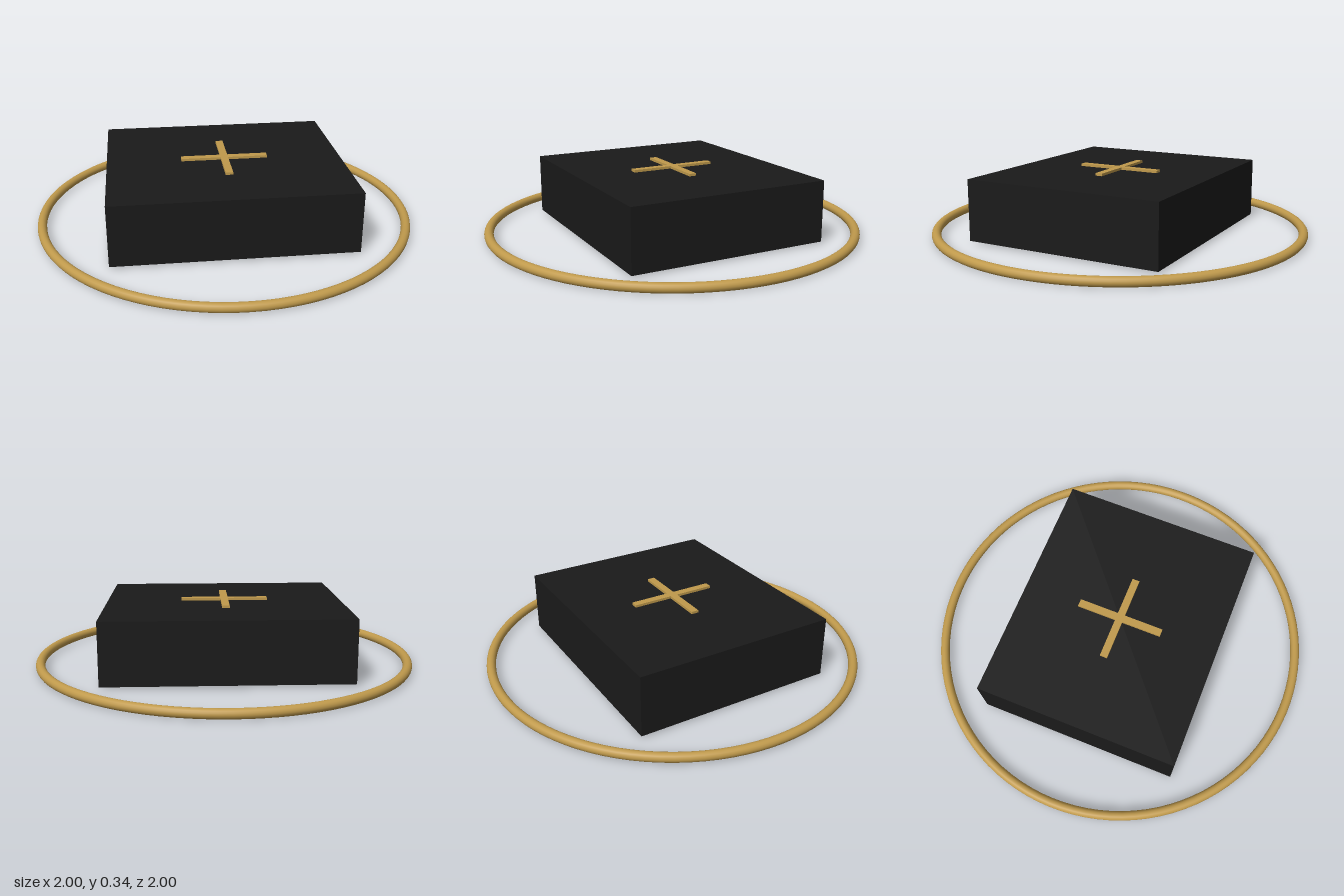
import * as THREE from 'three';

export function createModel() {
  const model = new THREE.Group();
  const black = new THREE.MeshStandardMaterial({ color: 0x1a1a1a });
  const gold = new THREE.MeshStandardMaterial({ color: 0xc09a4c });

  const add = (name, geometry, material, y) => {
    const mesh = new THREE.Mesh(geometry, material);
    mesh.name = name;
    mesh.position.y = y;
    model.add(mesh);
    return mesh;
  };

  // solid block, a hair above the ground
  add('block', new THREE.BoxGeometry(1.24, 0.32, 1.064), black, 0.169);

  // ring lying flat around the block
  const tube = 0.024;
  add('ring', new THREE.TorusGeometry(1 - tube, tube, 16, 96).rotateX(Math.PI / 2), gold, tube);

  // two crossed bars on the top face
  for (const [name, angle] of [['crossBarWide', 0], ['crossBarDeep', Math.PI / 2]]) {
    add(name, new THREE.BoxGeometry(0.458, 0.017, 0.039), gold, 0.3335).rotation.y = angle;
  }
  return model;
}
